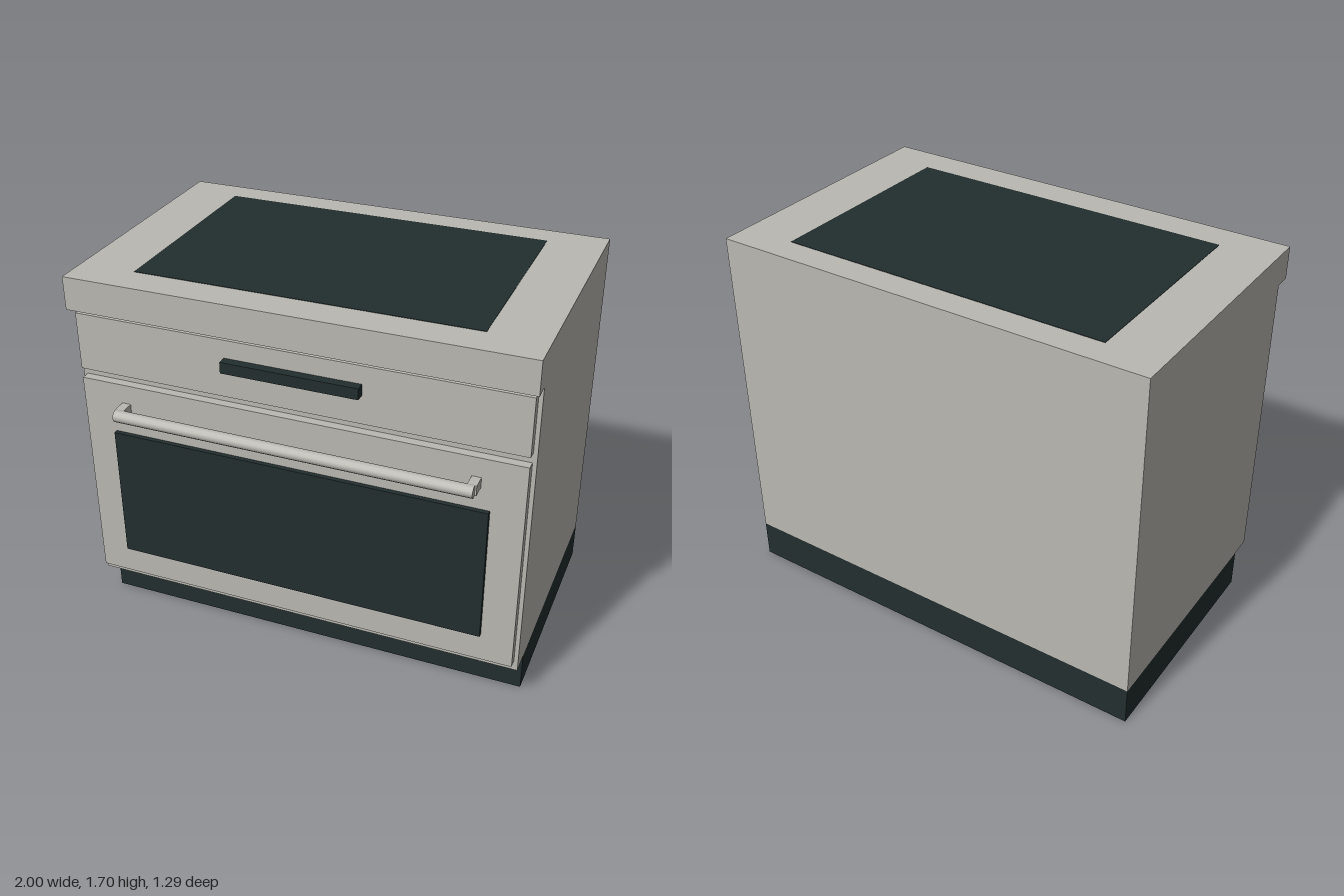
import * as THREE from 'three';

export function createModel() {
  const group = new THREE.Group();
  const steel = new THREE.MeshStandardMaterial({ color: 0xbab8b2 });
  steel.name = 'brushedSteel';
  const dark = new THREE.MeshStandardMaterial({ color: 0x222e2e });
  dark.name = 'darkGlass';

  const add = (name, geometry, material) => {
    const mesh = new THREE.Mesh(geometry, material);
    mesh.name = name;
    group.add(mesh);
    return mesh;
  };
  // Box given by its limits on each axis
  const box = (name, material, [x0, x1], [y0, y1], [z0, z1]) =>
    add(name, new THREE.BoxGeometry(x1 - x0, y1 - y0, z1 - z0), material)
      .position.set((x0 + x1) / 2, (y0 + y1) / 2, (z0 + z1) / 2);

  // Cabinet with overhanging top: side profile (z, y) extruded across x
  const profile = new THREE.Shape([
    [-0.645, 0.178], [0.505, 0.178], [0.505, 1.552],
    [0.58, 1.552], [0.58, 1.7], [-0.645, 1.7],
  ].map(([z, y]) => new THREE.Vector2(-z, y)));
  const cabinet = new THREE.ExtrudeGeometry(profile, { depth: 2, bevelEnabled: false });
  cabinet.translate(0, 0, -1).rotateY(Math.PI / 2);
  add('cabinet', cabinet, steel);

  // Recessed plinth and cooktop glass
  box('plinth', dark, [-1, 1], [0, 0.178], [-0.645, 0.405]);
  box('cooktopGlass', dark, [-0.75, 0.75], [1.696, 1.702], [-0.52, 0.43]);

  // Control panel and display
  box('controlPanel', steel, [-0.982, 0.982], [1.265, 1.525], [0.505, 0.545]);
  box('display', dark, [-0.298, 0.298], [1.394, 1.444], [0.545, 0.585]);

  // Oven door and window
  box('ovenDoor', steel, [-0.982, 0.982], [0.225, 1.22], [0.505, 0.545]);
  box('ovenWindow', dark, [-0.84, 0.84], [0.362, 0.985], [0.545, 0.566]);

  // Door handle: round bar on two posts
  const bar = new THREE.CylinderGeometry(0.027, 0.027, 1.58, 12);
  bar.rotateZ(Math.PI / 2);
  add('handleBar', bar, steel).position.set(0, 1.109, 0.618);
  for (const side of [-1, 1]) {
    const x = side * 0.777;
    box(side > 0 ? 'handlePostLeft' : 'handlePostRight', steel,
      [x - 0.02, x + 0.02], [1.086, 1.132], [0.545, 0.61]);
  }

  return group;
}
